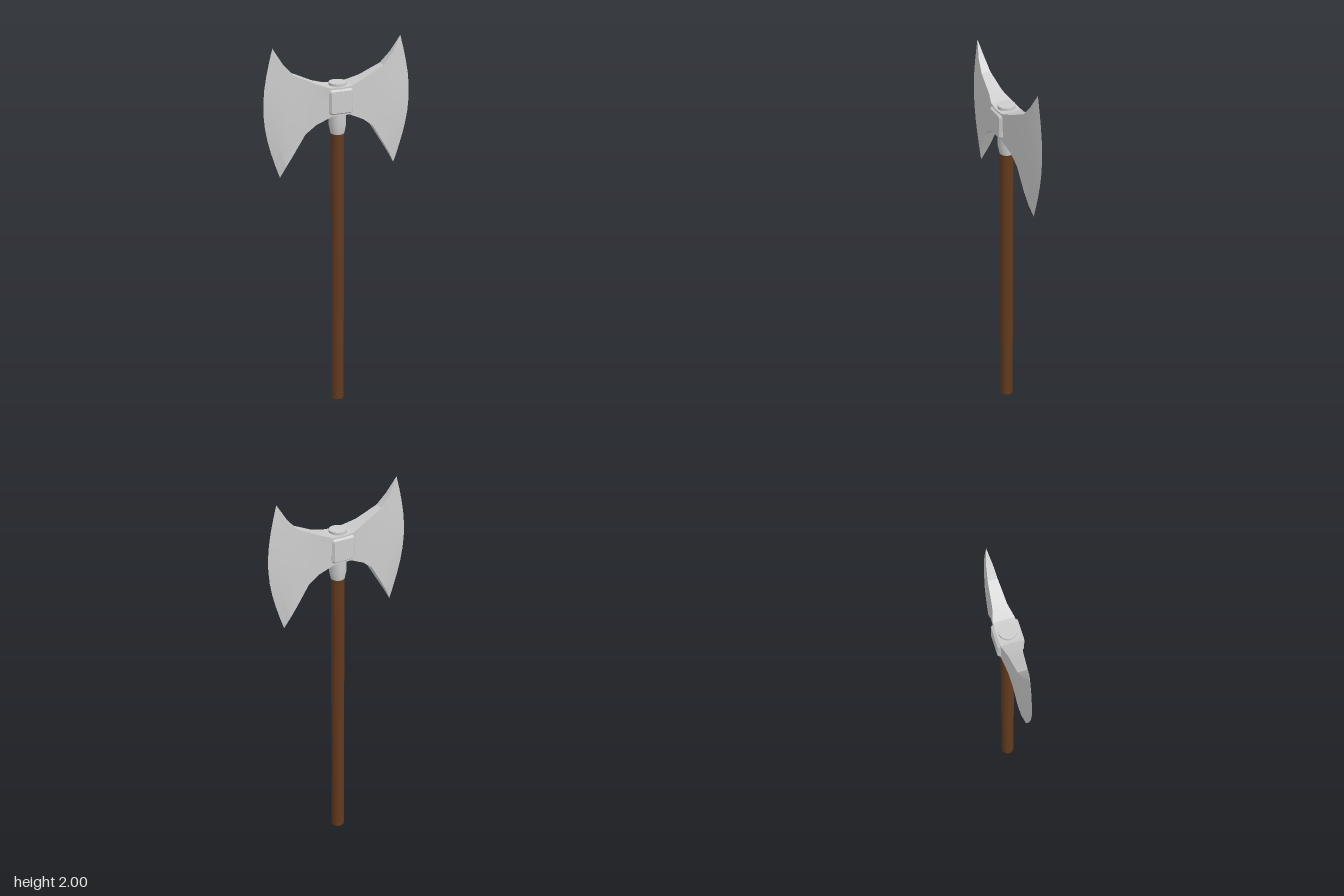
import * as THREE from 'three';
import { toCreasedNormals } from 'three/addons/utils/BufferGeometryUtils.js';

const steel = new THREE.MeshStandardMaterial({ color: 0xcdcdcd });
steel.name = 'steel';
const wood = new THREE.MeshStandardMaterial({ color: 0x623a1e });
wood.name = 'brown wood';

// Half of the head from the centre outwards:
// top x, top y, bottom x, bottom y, half thickness, outward bulge of the column
const half = [
  [0, 1.78, 0, 1.638, 0.055, 0],
  [0.06, 1.785, 0.045, 1.638, 0.053, 0],
  [0.125, 1.808, 0.125, 1.597, 0.036, 0],
  [0.18, 1.835, 0.18, 1.553, 0.03, 0.01],
  [0.235, 1.862, 0.245, 1.445, 0.024, 0.03],
  [0.285, 1.918, 0.28, 1.385, 0.016, 0.047],
  [0.333, 2.0, 0.307, 1.33, 0, 0.065],
];

// Double blade: closed cross-section loops swept from one cutting edge to the other
function bladeGeometry() {
  const mirrored = half.slice(1).reverse().map(([a, b, c, d, e, f]) => [-a, b, -c, d, e, -f]);
  const columns = [...mirrored, ...half];
  const rows = 10, ring = 2 * (rows + 1);
  const positions = [], index = [];
  for (const [tx, ty, bx, by, z, bulge] of columns) {
    for (let k = 0; k < ring; k++) {
      const front = k <= rows;
      const v = (front ? k : ring - 1 - k) / rows;
      positions.push(
        bx + (tx - bx) * v + bulge * Math.sin(Math.PI * v),
        by + (ty - by) * v,
        front ? z : -z);
    }
  }
  for (let i = 0; i < columns.length - 1; i++) {
    for (let k = 0; k < ring; k++) {
      const n = (k + 1) % ring;
      const a = i * ring + k, b = a + ring, c = (i + 1) * ring + n, d = i * ring + n;
      index.push(a, b, c, a, c, d);
    }
  }
  const g = new THREE.BufferGeometry();
  g.setAttribute('position', new THREE.Float32BufferAttribute(positions, 3));
  g.setIndex(index);
  return toCreasedNormals(g, 0.2);
}

// Bevelled block passing through the head, showing on both faces
function blockGeometry() {
  const w = 0.054, h = 0.056, r = 0.008;
  const s = new THREE.Shape();
  s.moveTo(-w + r, -h);
  s.lineTo(w - r, -h);
  s.quadraticCurveTo(w, -h, w, -h + r);
  s.lineTo(w, h - r);
  s.quadraticCurveTo(w, h, w - r, h);
  s.lineTo(-w + r, h);
  s.quadraticCurveTo(-w, h, -w, h - r);
  s.lineTo(-w, -h + r);
  s.quadraticCurveTo(-w, -h, -w + r, -h);
  const g = new THREE.ExtrudeGeometry(s, {
    depth: 0.106, bevelThickness: 0.012, bevelSize: 0.009, bevelSegments: 1, curveSegments: 3,
  });
  return g.translate(0, 1.71, -0.053);
}

export function createModel() {
  const model = new THREE.Group();
  model.name = 'doubleAxe';
  const add = (name, geometry, material, y = 0) => {
    const mesh = new THREE.Mesh(geometry, material);
    mesh.name = name;
    mesh.position.y = y;
    model.add(mesh);
  };

  add('handle', new THREE.CylinderGeometry(0.034, 0.034, 1.54, 32), wood, 0.77);

  // Collar tapering down onto the handle
  const collar = [[0.03, 1.53], [0.035, 1.53], [0.044, 1.575], [0.044, 1.66]]
    .map(([x, y]) => new THREE.Vector2(x, y));
  add('collar', toCreasedNormals(new THREE.LatheGeometry(collar, 32), 0.6), steel);

  add('blades', bladeGeometry(), steel);
  add('centreBlock', blockGeometry(), steel);

  // Flat end of the socket above the head
  add('topCap', new THREE.CylinderGeometry(0.044, 0.044, 0.04, 32), steel, 1.777);
  return model;
}
